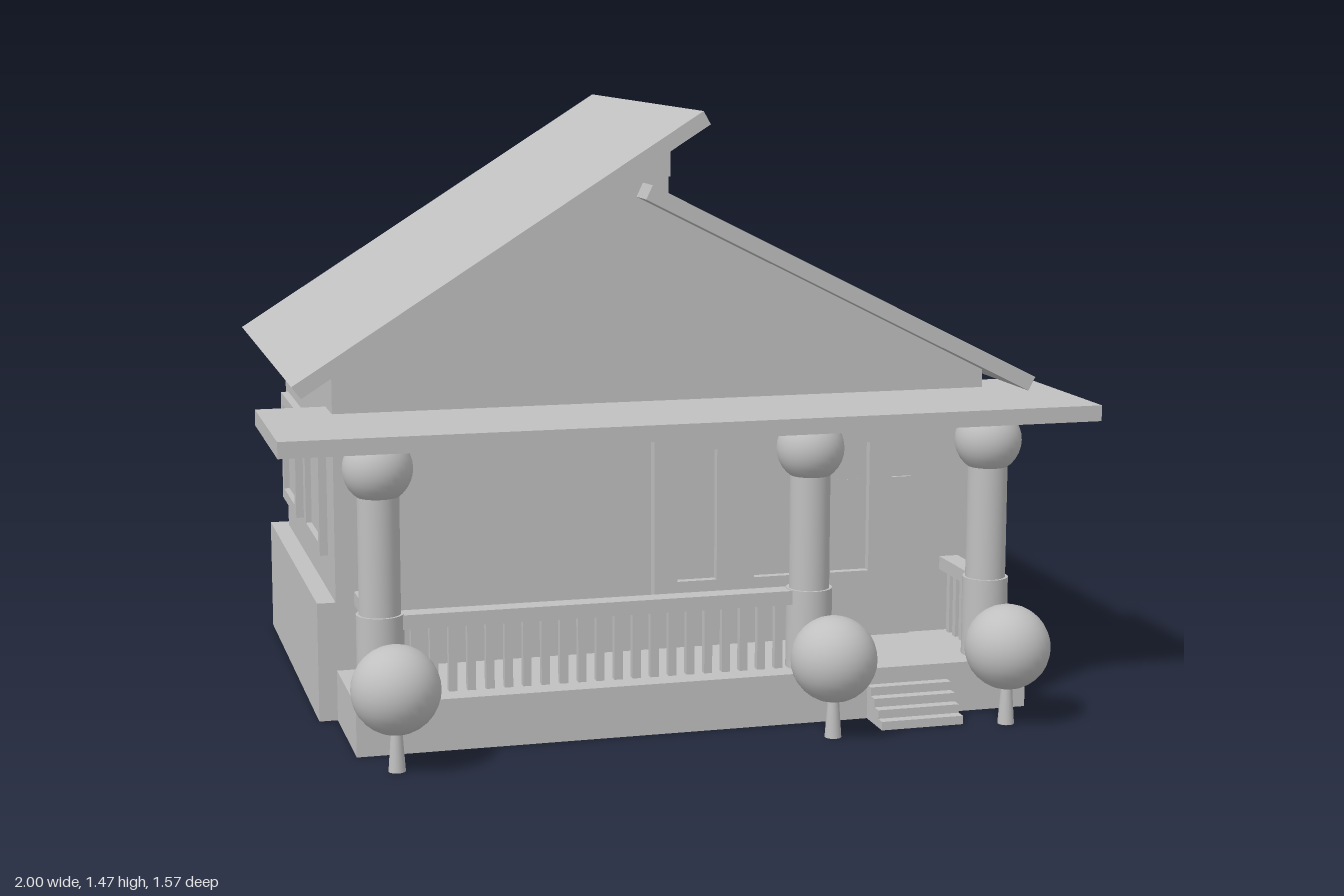
import * as THREE from 'three';

const grey = new THREE.MeshStandardMaterial({ color: 0xc0c0c0 });

export function createModel() {
  const model = new THREE.Group();
  model.name = 'house';

  const add = (name, geometry, parent = model) => {
    const mesh = new THREE.Mesh(geometry, grey);
    mesh.name = name;
    parent.add(mesh);
    return mesh;
  };
  // Box given by its limits on each axis
  const box = (name, x0, x1, y0, y1, z0, z1, parent = model) => {
    const mesh = add(name, new THREE.BoxGeometry(x1 - x0, y1 - y0, z1 - z0), parent);
    mesh.position.set((x0 + x1) / 2, (y0 + y1) / 2, (z0 + z1) / 2);
    return mesh;
  };
  // Outline in x and y, extruded from z0 to z1
  const prism = (name, points, z0, z1) => {
    const shape = new THREE.Shape(points.map(([x, y]) => new THREE.Vector2(x, y)));
    const mesh = add(name, new THREE.ExtrudeGeometry(shape, { depth: z1 - z0, bevelEnabled: false }));
    mesh.position.z = z0;
    return mesh;
  };
  const rect = (path, x0, x1, y0, y1) =>
    path.moveTo(x0, y0).lineTo(x1, y0).lineTo(x1, y1).lineTo(x0, y1).closePath();

  // Window facing +z: raised frame with recessed panes; holes are [x0, x1, y0, y1]
  const makeWindow = (name, w, h, depth, holes) => {
    const group = new THREE.Group();
    group.name = name;
    const shape = rect(new THREE.Shape(), -w / 2, w / 2, -h / 2, h / 2);
    holes.forEach((hole) => shape.holes.push(rect(new THREE.Path(), ...hole)));
    add('windowFrame', new THREE.ExtrudeGeometry(shape, { depth, bevelEnabled: false }), group);
    holes.forEach(([x0, x1, y0, y1]) => box('windowPane', x0, x1, y0, y1, 0, depth * 0.3, group));
    model.add(group);
    return group;
  };
  const singlePane = (w, h, b) => [[b - w / 2, w / 2 - b, b - h / 2, h / 2 - b]];

  // Foundation, walls and porch floor
  box('foundation', -0.875, 0.875, 0, 0.293, -0.733, 0.248);
  prism('walls', [[-0.83, 0.293], [0.83, 0.293], [0.83, 0.8], [0, 1.22], [0, 1.385], [-0.83, 0.862]], -0.69, 0.248);
  box('porchFloor', -0.83, 0.83, 0, 0.124, 0.248, 0.56);

  // Two offset roof slopes and the flat porch roof
  prism('leftRoof', [[-0.914, 0.807], [0.08, 1.433], [0.062, 1.465], [-0.936, 0.836]], -0.785, 0.34);
  prism('rightRoof', [[-0.08, 1.256], [0.918, 0.754], [0.936, 0.788], [-0.064, 1.29]], -0.785, 0.34);
  box('porchRoof', -1, 1, 0.714, 0.753, 0.13, 0.595);

  // Clerestory vents between the slopes
  for (const z of [0.038, -0.213, -0.463]) {
    box('ventPanel', 0, 0.02, 1.284, 1.368, z - 0.105, z + 0.105);
    for (let i = 0; i < 6; i++) {
      const s = z + (i - 2.5) * 0.03;
      box('ventSlat', 0.02, 0.04, 1.294, 1.36, s - 0.0085, s + 0.0085);
    }
  }

  // Columns with round pedestals and ball capitals
  const columnXs = [-0.76, 0.289, 0.748];
  const columnZ = 0.49;
  for (const x of columnXs) {
    const column = new THREE.Group();
    column.name = 'column';
    column.position.set(x, 0, columnZ);
    add('pedestal', new THREE.CylinderGeometry(0.056, 0.056, 0.196, 32), column).position.y = 0.222;
    add('shaft', new THREE.CylinderGeometry(0.049, 0.049, 0.32, 32), column).position.y = 0.46;
    add('capital', new THREE.SphereGeometry(0.082, 32, 16), column).position.y = 0.663;
    model.add(column);
  }

  // Railings: one along the front, one on each side
  const baluster = (x, z) => box('baluster', x - 0.01, x + 0.01, 0.124, 0.284, z - 0.01, z + 0.01);
  box('frontRail', columnXs[0], columnXs[1], 0.284, 0.318, columnZ - 0.025, columnZ + 0.025);
  for (let i = 0; i < 21; i++) baluster(-0.68 + i * 0.0445, columnZ);
  for (const x of [columnXs[0], columnXs[2]]) {
    box('sideRail', x - 0.025, x + 0.025, 0.284, 0.318, 0.248, columnZ);
    for (let i = 0; i < 4; i++) baluster(x, 0.275 + i * 0.0425);
  }

  // Front steps
  for (let i = 0; i < 4; i++) {
    box('step', 0.417, 0.624, i * 0.021, (i + 1) * 0.021, 0.55, 0.667 - i * 0.027);
  }

  // Ball-shaped trees
  for (const x of [-0.756, 0.287, 0.728]) {
    const tree = new THREE.Group();
    tree.name = 'tree';
    tree.position.set(x, 0, 0.684);
    add('trunk', new THREE.CylinderGeometry(0.012, 0.02, 0.11, 16), tree).position.y = 0.055;
    add('crown', new THREE.SphereGeometry(0.103, 32, 16), tree).position.y = 0.19;
    model.add(tree);
  }

  // Door beside the wide front window
  box('door', 0.41, 0.64, 0.124, 0.533, 0.24, 0.257);
  const frontPanes = [-0.2, 0, 0.2].map((x) => [x - 0.051, x + 0.051, -0.165, 0.165]);
  makeWindow('frontWindow', 0.62, 0.417, 0.032, frontPanes).position.set(0.267, 0.465, 0.247);

  // Side windows
  for (const side of [1, -1]) {
    for (const z of [-0.021, -0.49]) {
      const pane = makeWindow('sideWindow', 0.292, 0.291, side > 0 ? 0.031 : 0.021, singlePane(0.292, 0.291, 0.029));
      pane.position.set(side * 0.829, 0.528, z);
      pane.rotation.y = side * Math.PI / 2;
    }
  }

  // Small back windows
  for (const x of [0.183, -0.142]) {
    const pane = makeWindow('backWindow', 0.225, 0.13, 0.013, singlePane(0.225, 0.13, 0.024));
    pane.position.set(x, 0.642, -0.689);
    pane.rotation.y = Math.PI;
  }

  return model;
}
